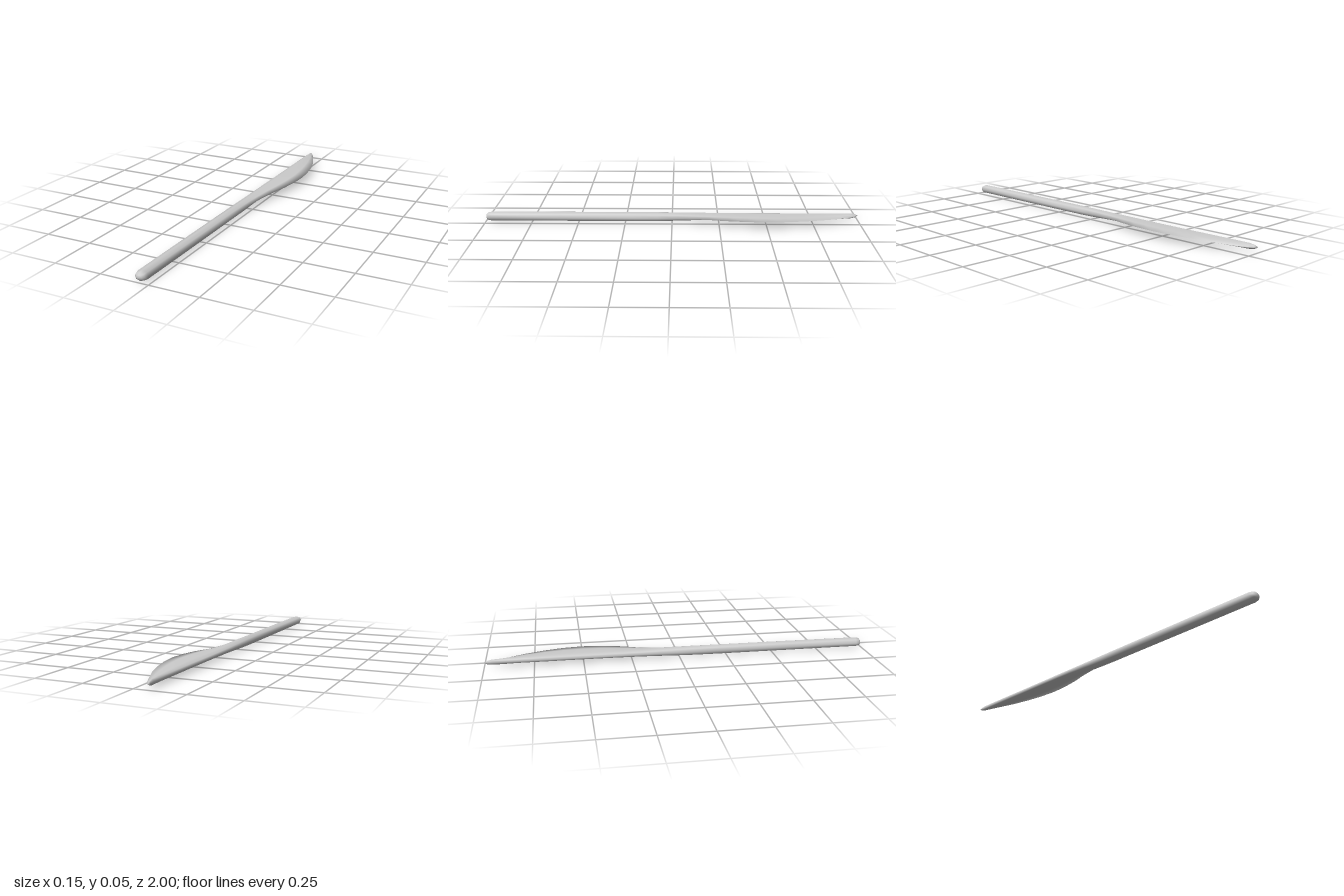
import * as THREE from 'three';

// Eight-point half-unit sections: [fraction of width from spine to edge, fraction of half thickness]
const HANDLE = [[1, 0], [0.87, 0.7], [0.5, 1], [0.13, 0.7], [0, 0], [0.13, -0.7], [0.5, -1], [0.87, -0.7]];
const BLADE = [[1, 0], [0.65, 0.5], [0.2, 1], [0.04, 0.65], [0, 0], [0.04, -0.65], [0.2, -1], [0.65, -0.5]];

// Stations along the knife: [z, spine x, edge x, half thickness, blend from handle to blade section]
const STATIONS = [
  [0.998, -0.062, -0.034, 0.011, 0],
  [0.99, -0.074, -0.022, 0.02, 0],
  [0.97, -0.079, -0.017, 0.0245, 0],
  [0.6, -0.079, -0.016, 0.025, 0],
  [0.2, -0.079, -0.016, 0.025, 0],
  [0.08, -0.079, -0.013, 0.0245, 0.05],
  [0, -0.079, -0.008, 0.023, 0.2],
  [-0.1, -0.079, 0.003, 0.02, 0.5],
  [-0.2, -0.079, 0.024, 0.0175, 0.85],
  [-0.3, -0.079, 0.051, 0.0165, 1],
  [-0.4, -0.079, 0.069, 0.016, 1],
  [-0.5, -0.079, 0.075, 0.016, 1],
  [-0.6, -0.078, 0.067, 0.016, 1],
  [-0.7, -0.078, 0.048, 0.016, 1],
  [-0.8, -0.077, 0.02, 0.0155, 1],
  [-0.9, -0.076, -0.019, 0.015, 0.9],
  [-0.96, -0.075, -0.045, 0.014, 0.7],
  [-0.985, -0.075, -0.059, 0.009, 0.5],
];
const BLADE_START = 6; // station where the handle meets the blade
const SIDES = HANDLE.length;

export function createModel() {
  const group = new THREE.Group();
  group.name = 'tableKnife';
  const { lerp, clamp } = THREE.MathUtils;

  // Rings of vertices; the cutting edge rises slightly as the blade widens
  const positions = [];
  for (const [z, spine, edge, half, blend] of STATIONS) {
    const edgeRise = 0.011 * clamp((edge + 0.016) / 0.09, 0, 1);
    for (let j = 0; j < SIDES; j++) {
      const t = lerp(HANDLE[j][0], BLADE[j][0], blend);
      const v = lerp(HANDLE[j][1], BLADE[j][1], blend);
      positions.push(lerp(spine, edge, t), 0.0255 + 0.002 * blend + edgeRise * t + v * half, z);
    }
  }
  const buttPole = STATIONS.length * SIDES;
  const tipPole = buttPole + 1;
  positions.push(-0.048, 0.0255, 1, -0.072, 0.027, -1);

  // Faces, kept apart for handle and blade
  const handleFaces = [];
  const bladeFaces = [];
  const lastRing = (STATIONS.length - 1) * SIDES;
  for (let j = 0; j < SIDES; j++) {
    const k = (j + 1) % SIDES;
    handleFaces.push(buttPole, j, k);
    for (let i = 0; i < STATIONS.length - 1; i++) {
      const a = i * SIDES;
      const b = a + SIDES;
      const faces = i < BLADE_START ? handleFaces : bladeFaces;
      faces.push(a + j, b + j, a + k, a + k, b + j, b + k);
    }
    bladeFaces.push(tipPole, lastRing + k, lastRing + j);
  }

  // Shared normals keep the join between handle and blade smooth
  const whole = new THREE.BufferGeometry();
  whole.setAttribute('position', new THREE.Float32BufferAttribute(positions, 3));
  whole.setIndex([...handleFaces, ...bladeFaces]);
  whole.computeVertexNormals();

  const material = new THREE.MeshStandardMaterial({ color: 0xcccccc });
  for (const [name, faces] of [['handle', handleFaces], ['blade', bladeFaces]]) {
    const geometry = whole.clone();
    geometry.setIndex(faces);
    const mesh = new THREE.Mesh(geometry, material);
    mesh.name = name;
    group.add(mesh);
  }
  return group;
}
